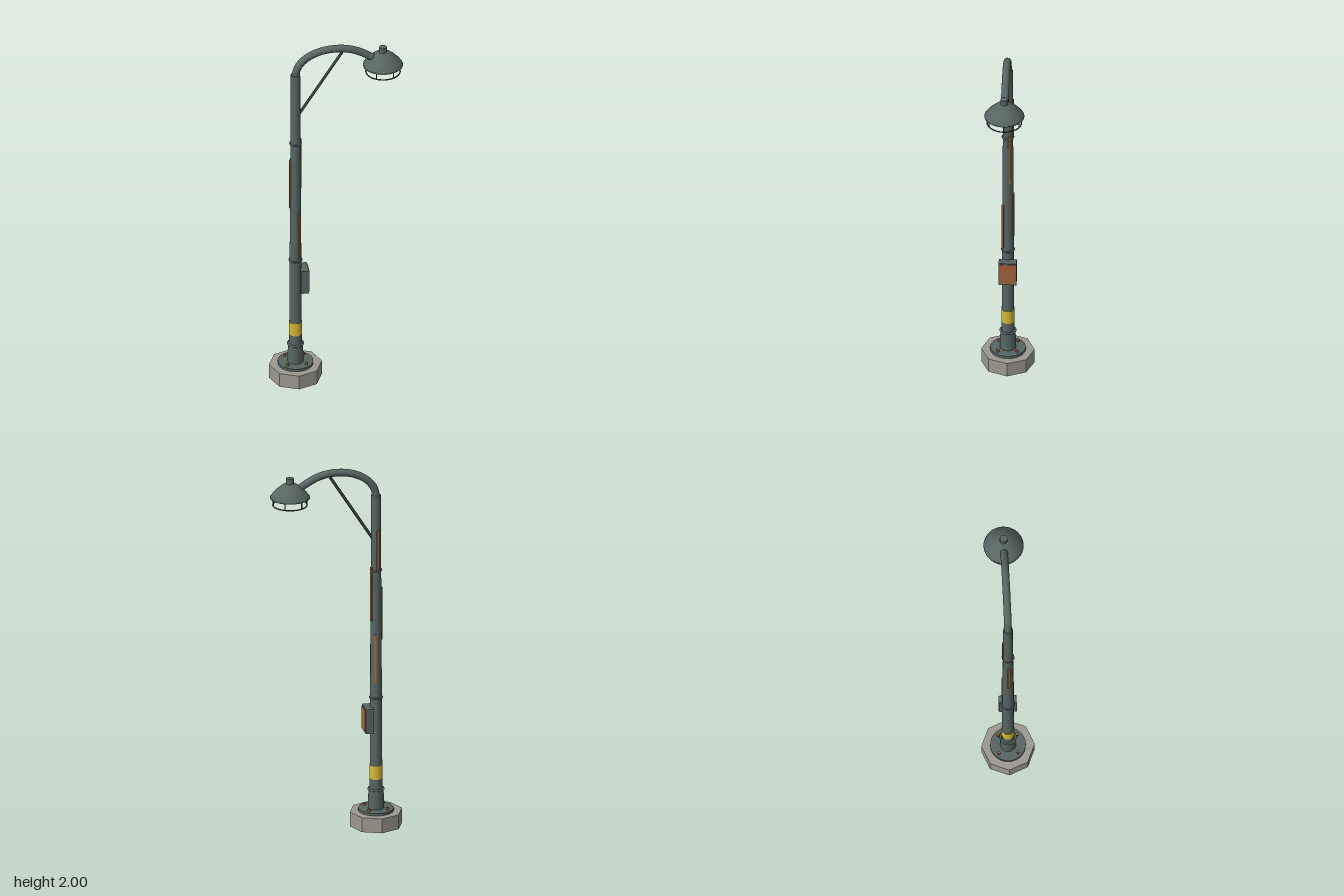
import * as THREE from 'three';

const mat = (name, color, extra = {}) => {
  const m = new THREE.MeshStandardMaterial({ color, ...extra });
  m.name = name;
  return m;
};

export function createModel() {
  const group = new THREE.Group();
  const steel = mat('paintedSteel', 0x566663);
  const steelSheet = mat('paintedSteelSheet', 0x566663, { side: THREE.DoubleSide });
  const dark = mat('darkSteel', 0x3a4343);
  const rust = mat('rust', 0xa3633c);
  const concrete = mat('concrete', 0x9c9991, { flatShading: true });
  const yellow = mat('warningYellow', 0xd6ba34);
  const glass = mat('dirtyGlass', 0xcdb78f);

  const PX = -0.215; // pole axis
  const LX = 0.247; // lamp axis
  const add = (name, geo, material, x = 0, y = 0, z = 0) => {
    const m = new THREE.Mesh(geo, material);
    m.name = name;
    m.position.set(x, y, z);
    group.add(m);
    return m;
  };
  const cyl = (name, rTop, rBottom, y0, y1, material, x = PX, z = 0, sides = 24) =>
    add(name, new THREE.CylinderGeometry(rTop, rBottom, y1 - y0, sides), material, x, (y0 + y1) / 2, z);
  const rod = (name, a, b, r, material) => {
    const m = add(name, new THREE.CylinderGeometry(r, r, a.distanceTo(b), 8), material);
    m.position.copy(a).lerp(b, 0.5);
    m.quaternion.setFromUnitVectors(new THREE.Vector3(0, 1, 0), b.clone().sub(a).normalize());
  };
  const ring = (name, r, tube, x, y, material) => {
    add(name, new THREE.TorusGeometry(r, tube, 8, 32), material, x, y).rotation.x = Math.PI / 2;
  };
  const poleRadius = (y) => 0.034 - 0.009 * (y - 0.1) / 1.74;

  // Footing, flange and anchor bolts
  cyl('footing', 0.14, 0.14, 0, 0.08, concrete, PX, 0, 8);
  cyl('flange', 0.093, 0.093, 0.08, 0.094, steel, PX, 0, 32);
  for (const sx of [-1, 1]) for (const sz of [-1, 1]) {
    cyl('anchorBolt', 0.008, 0.008, 0.094, 0.108, rust, PX + sx * 0.05, sz * 0.05, 6);
  }

  // Pole with sleeve, joint collars and warning band
  cyl('sleeve', 0.04, 0.042, 0.094, 0.2, steel);
  ring('sleeveCollar', 0.039, 0.006, PX, 0.2, steel);
  cyl('pole', poleRadius(1.84), poleRadius(0.1), 0.1, 1.84, steel);
  for (const y of [0.71, 1.42]) ring('jointCollar', poleRadius(y) + 0.001, 0.005, PX, y, steel);
  cyl('warningBand', 0.0345, 0.035, 0.26, 0.335, yellow);

  // Junction box with rusty door
  add('junctionBox', new THREE.BoxGeometry(0.042, 0.135, 0.094), steel, -0.171, 0.593, 0);
  add('junctionBoxDoor', new THREE.BoxGeometry(0.005, 0.122, 0.082), rust, -0.1485, 0.593, 0);

  // Rust streaks: angle from +x towards +z, bottom, top
  for (const [deg, y0, y1] of [
    [172, 1.03, 1.32], [-20, 1.14, 1.44], [-70, 0.8, 1.07], [-100, 1.42, 1.65], [55, 0.73, 1.0],
  ]) {
    const a = THREE.MathUtils.degToRad(deg);
    const y = (y0 + y1) / 2;
    const r = poleRadius(y) + 0.001;
    add('rustStreak', new THREE.BoxGeometry(0.008, y1 - y0, 0.014), rust,
      PX + r * Math.cos(a), y, r * Math.sin(a)).rotation.y = -a;
  }

  // Curved arm and its brace
  const path = new THREE.CatmullRomCurve3([
    [PX, 1.8], [-0.214, 1.84], [-0.201, 1.885], [-0.16, 1.932], [-0.085, 1.969],
    [0.01, 1.98], [0.09, 1.966], [0.155, 1.935], [0.215, 1.895],
  ].map(([x, y]) => new THREE.Vector3(x, y, 0)));
  add('arm', new THREE.TubeGeometry(path, 48, 0.02, 16), steel);
  rod('brace', new THREE.Vector3(-0.198, 1.595, 0), new THREE.Vector3(0.03, 1.955, 0), 0.008, dark);

  // Lamp shade, cap and lens
  const profile = [[0.105, 1.862], [0.1, 1.872], [0.088, 1.888], [0.07, 1.907], [0.05, 1.925], [0.034, 1.936], [0.018, 1.941], [0, 1.942]];
  add('lampShade', new THREE.LatheGeometry(profile.map(([r, y]) => new THREE.Vector2(r, y)), 32), steelSheet, LX);
  ring('shadeRim', 0.102, 0.003, LX, 1.864, steel);
  cyl('lampCap', 0.02, 0.02, 1.935, 1.97, steel, LX);
  cyl('lampLens', 0.084, 0.084, 1.872, 1.88, glass, LX, 0, 32);

  // Wire guard below the shade
  ring('guardRing', 0.09, 0.0035, LX, 1.822, dark);
  for (let i = 0; i < 6; i++) {
    const a = i * Math.PI / 3;
    cyl('guardBar', 0.003, 0.003, 1.822, 1.876, dark, LX + 0.09 * Math.cos(a), 0.09 * Math.sin(a), 6);
  }
  return group;
}
